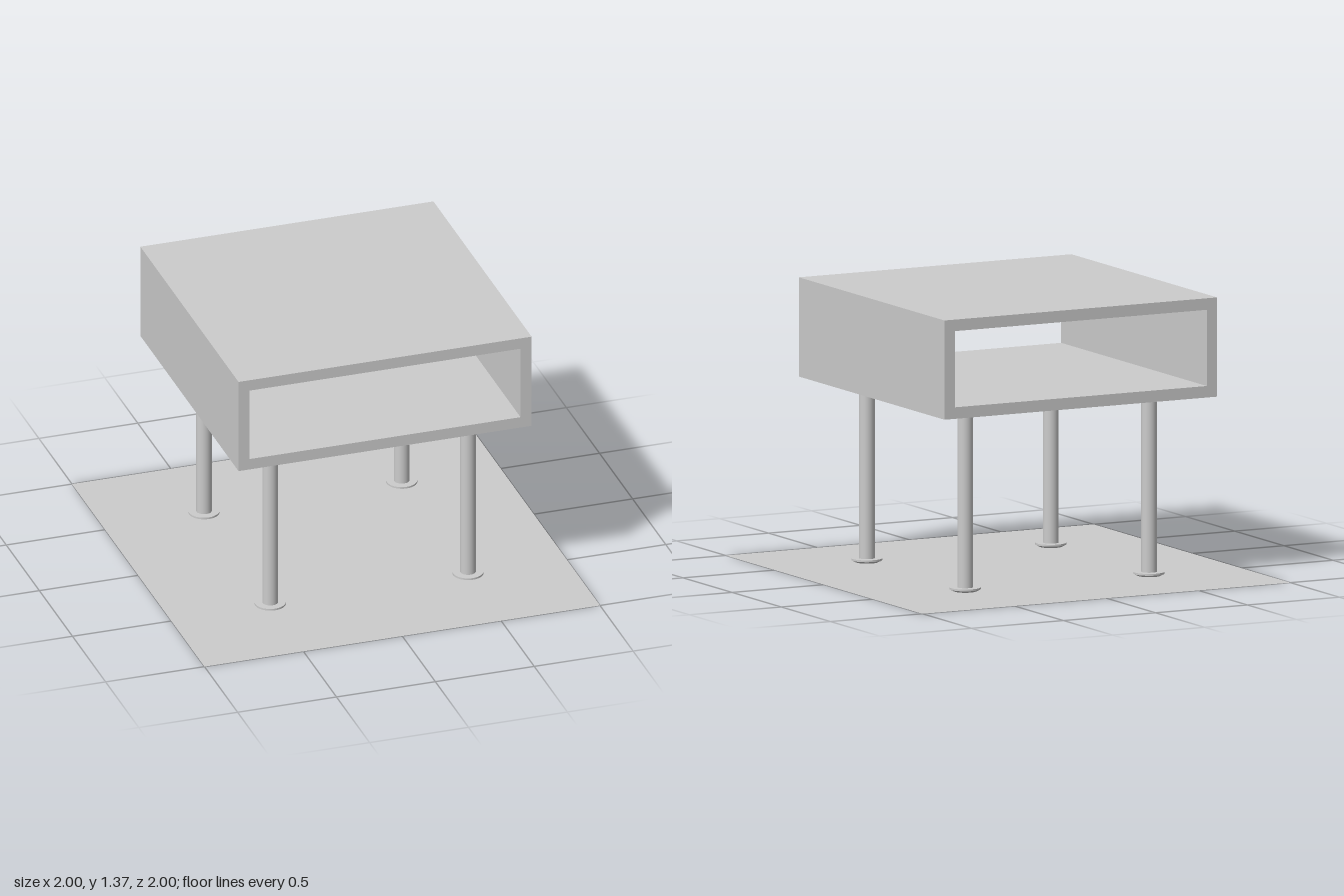
import * as THREE from 'three';

export function createModel() {
  const group = new THREE.Group();
  const material = new THREE.MeshStandardMaterial({ color: 0xcccccc });
  const floorMaterial = new THREE.MeshStandardMaterial({ color: 0xcccccc, side: THREE.DoubleSide });

  const width = 1.482, board = 0.056, sideHeight = 0.37;
  const shelfBottom = 0.886;
  const sideY = shelfBottom + board + sideHeight / 2;

  function add(name, geometry, x, y, z, mat = material) {
    const mesh = new THREE.Mesh(geometry, mat);
    mesh.name = name;
    mesh.position.set(x, y, z);
    group.add(mesh);
    return mesh;
  }

  // Thin square floor sheet
  add('floor', new THREE.PlaneGeometry(2, 2), 0, 0, 0, floorMaterial).rotation.x = -Math.PI / 2;

  // Open-ended box: shelf, top and two side panels
  const slab = new THREE.BoxGeometry(width, board, width);
  add('bottomShelf', slab, 0, shelfBottom + board / 2, 0);
  add('tableTop', slab, 0, shelfBottom + board * 1.5 + sideHeight, 0);
  const panel = new THREE.BoxGeometry(board, sideHeight, width);
  for (const s of [-1, 1]) {
    add(s > 0 ? 'leftPanel' : 'rightPanel', panel, s * (width - board) / 2, sideY, 0);
  }

  // Round legs with a tapered flange at each end
  const leg = new THREE.CylinderGeometry(0.038, 0.038, shelfBottom, 32);
  const flange = new THREE.LatheGeometry([
    [0, 0], [0.055, 0], [0.055, 0], [0.075, 0.01],
    [0.075, 0.01], [0.075, 0.019], [0.075, 0.019], [0, 0.019],
  ].map(([r, y]) => new THREE.Vector2(r, y)), 32);
  for (const x of [-0.5, 0.5]) {
    for (const z of [-0.5, 0.5]) {
      const label = (z > 0 ? 'front' : 'back') + (x > 0 ? 'Left' : 'Right');
      add(label + 'Leg', leg, x, shelfBottom / 2, z);
      add(label + 'Foot', flange, x, 0.002, z);
      add(label + 'Mount', flange, x, shelfBottom - 0.017, z);
    }
  }
  return group;
}
